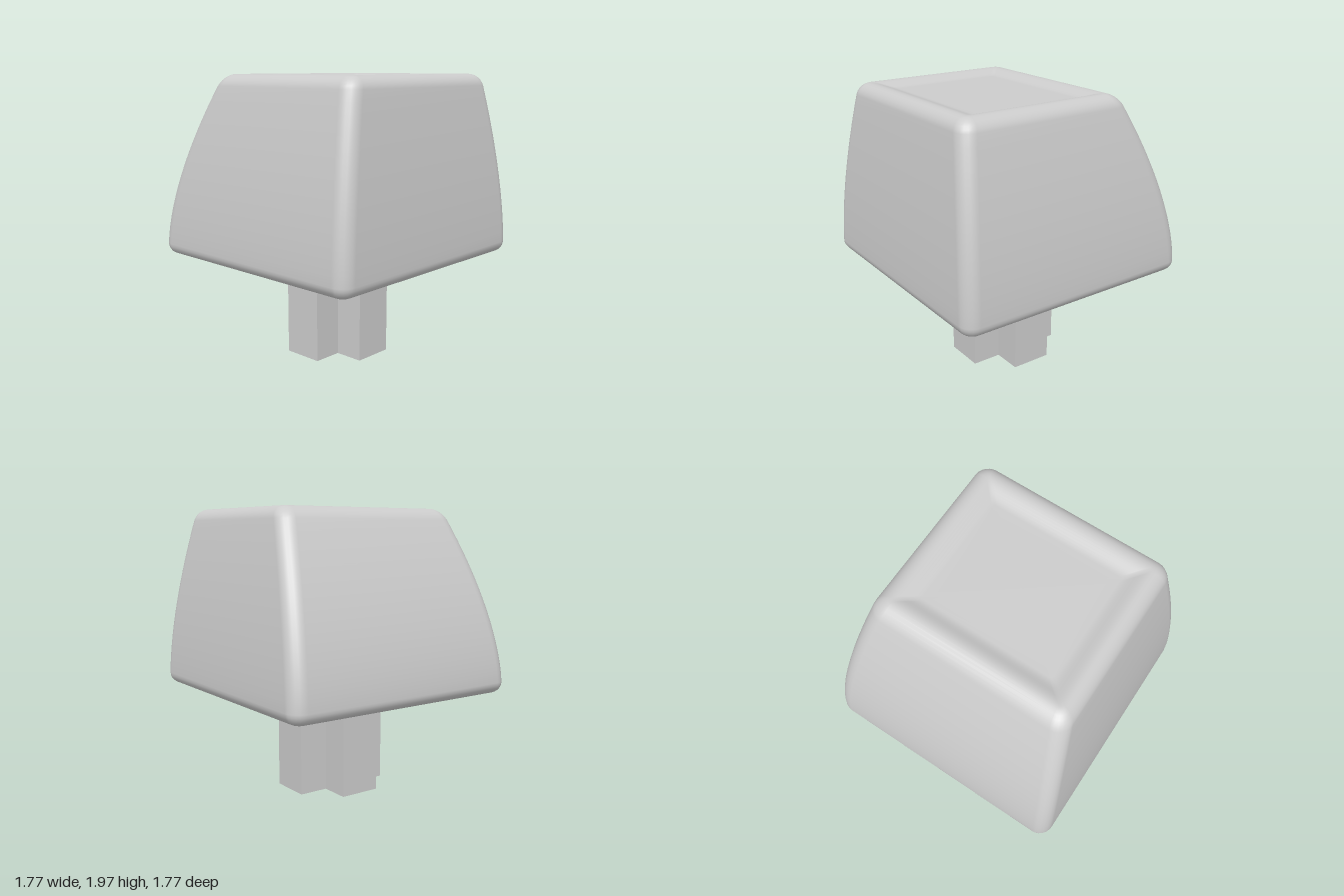
import * as THREE from 'three';

const material = new THREE.MeshStandardMaterial({ color: 0xcccccc, side: THREE.DoubleSide });
const CORNER_STEPS = 6;

// Rounded rectangle in plan: half width hx, depth from -zb to zf, corner radius r
function roundedRing(y, hx, zb, zf, r) {
  const corners = [[hx - r, zf - r], [r - hx, zf - r], [r - hx, r - zb], [hx - r, r - zb]];
  const ring = [];
  corners.forEach(([cx, cz], q) => {
    for (let i = 0; i <= CORNER_STEPS; i++) {
      const a = (q + i / CORNER_STEPS) * Math.PI / 2;
      ring.push([cx + r * Math.cos(a), y, cz + r * Math.sin(a)]);
    }
  });
  return ring;
}

// Skin over a stack of equal rings; an optional centre point closes the top
function loft(rings, centre) {
  const n = rings[0].length, index = [];
  const points = rings.flat();
  if (centre) points.push(centre);
  for (let j = 0; j < rings.length; j++) {
    for (let i = 0; i < n; i++) {
      const a = j * n + i, b = j * n + (i + 1) % n;
      if (j < rings.length - 1) index.push(a, a + n, b, b, a + n, b + n);
      else if (centre) index.push(a, points.length - 1, b);
    }
  }
  const geometry = new THREE.BufferGeometry();
  geometry.setAttribute('position', new THREE.Float32BufferAttribute(points.flat(), 3));
  geometry.setIndex(index);
  geometry.computeVertexNormals();
  return geometry;
}

// Hollow cap: bowed walls, steeper at the front than at the back
function capGeometry() {
  const bottom = 0.7, top = 1.97, fillet = 0.08, dish = 0.035;
  const levels = []; // [height, inset from the wall]
  for (let i = 0; i <= 6; i++) { // rounded lower rim
    const a = i / 6 * Math.PI / 2;
    levels.push([bottom + fillet * (1 - Math.cos(a)), fillet * (1 - Math.sin(a))]);
  }
  for (let i = 1; i < 16; i++) { // walls
    levels.push([bottom + fillet + (top - bottom - 2 * fillet) * i / 16, 0]);
  }
  for (let i = 0; i <= 6; i++) { // rounded upper edge
    const a = i / 6 * Math.PI / 2;
    levels.push([top - fillet * (1 - Math.sin(a)), fillet * (1 - Math.cos(a))]);
  }
  for (let i = 1; i <= 8; i++) { // shallow dish in the top
    levels.push([top - dish * THREE.MathUtils.smoothstep(i / 8, 0, 1), fillet + 0.15 * i / 8]);
  }
  levels.push([top - dish, 0.3]);
  const rings = levels.map(([y, inset]) => {
    const t = Math.max(0, (y - 0.75) / 1.17) ** 1.6;
    return roundedRing(y, 0.885 - 0.185 * t - inset, 0.885 - 0.41 * t - inset,
      0.885 - 0.11 * t - inset, Math.max(0.1 - inset, 0.025));
  });
  return loft(rings, [0, top - dish, 0.15]);
}

// Cross-shaped tube, open below, running up to the underside of the top
function stemGeometry() {
  const o = 0.353, i = 0.145;
  const outline = [[o, -i], [o, i], [i, i], [i, o], [-i, o], [-i, i],
    [-o, i], [-o, -i], [-i, -i], [-i, -o], [i, -o], [i, -i]];
  const rings = [0, 1.93].map((y) => outline.map(([x, z]) => [x, y, z]));
  const geometry = loft(rings).toNonIndexed();
  geometry.computeVertexNormals();
  return geometry;
}

export function createModel() {
  const group = new THREE.Group();
  group.name = 'keycap';
  const add = (name, geometry) => {
    const mesh = new THREE.Mesh(geometry, material);
    mesh.name = name;
    group.add(mesh);
  };
  add('cap', capGeometry());
  add('stem', stemGeometry());
  return group;
}
